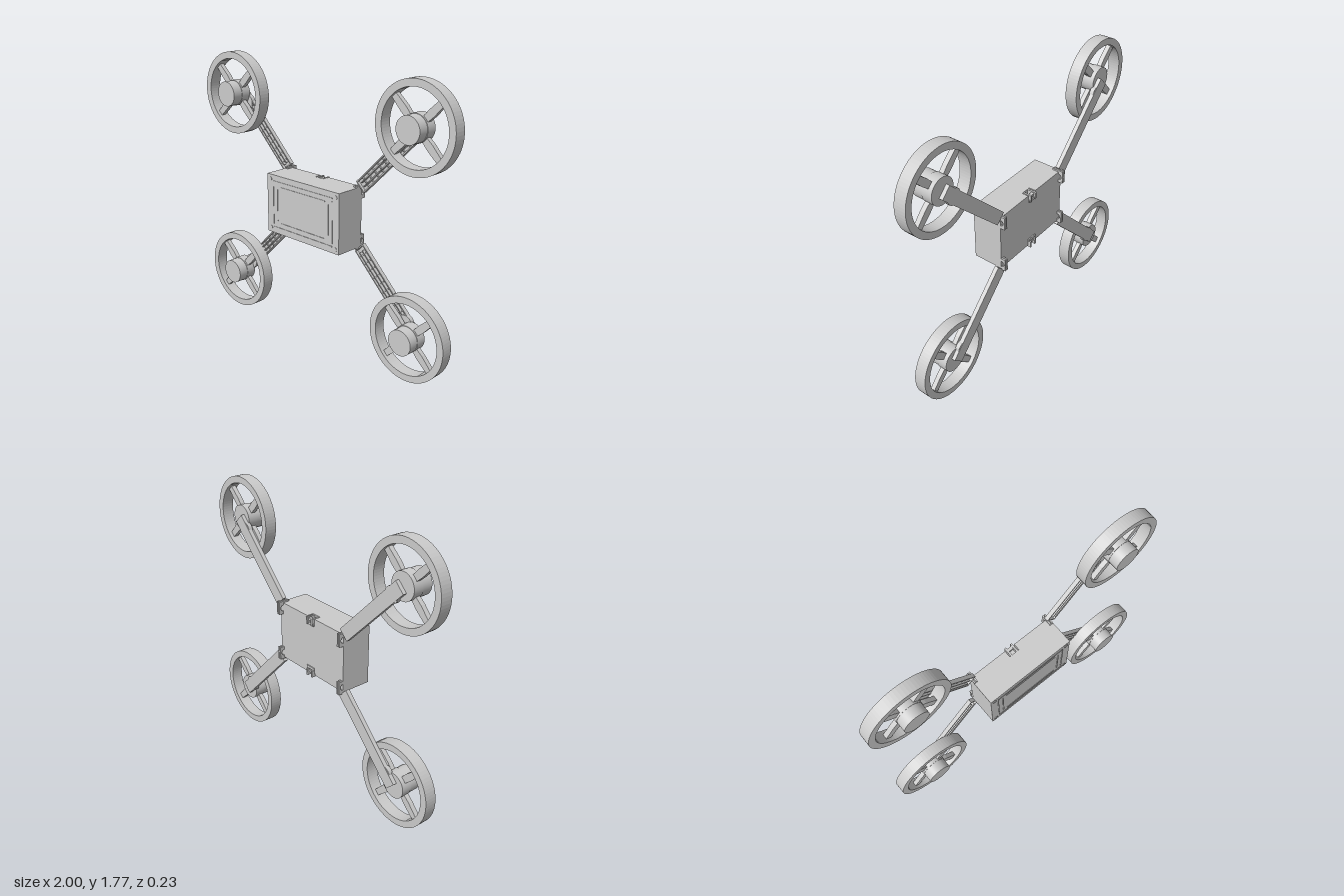
import * as THREE from 'three';

const grey = new THREE.MeshStandardMaterial({ color: 0xcccccc });
const MID_Y = 0.8875;

function mesh(name, geometry, parent, x = 0, y = 0, z = 0) {
  const m = new THREE.Mesh(geometry, grey);
  m.name = name;
  m.position.set(x, y, z);
  parent.add(m);
  return m;
}

// Box given by its minimum and maximum on each axis
function box(name, parent, x0, x1, y0, y1, z0, z1) {
  return mesh(name, new THREE.BoxGeometry(x1 - x0, y1 - y0, z1 - z0), parent,
    (x0 + x1) / 2, (y0 + y1) / 2, (z0 + z1) / 2);
}

// Cylinder along z
function disc(name, parent, x, y, z0, z1, r, sides = 48) {
  const g = new THREE.CylinderGeometry(r, r, z1 - z0, sides).rotateX(Math.PI / 2);
  return mesh(name, g, parent, x, y, (z0 + z1) / 2);
}

// Hinge lug: square plate with a rounded outer corner and a pin hole, thin along x
function lugGeometry() {
  const s = new THREE.Shape();
  s.moveTo(0.04, 0.005);
  s.lineTo(0.115, 0.005);
  s.lineTo(0.115, -0.08);
  s.lineTo(0.085, -0.08);
  s.lineTo(0.085, -0.07);
  s.absarc(0.085, -0.04, 0.02, -Math.PI / 2, Math.PI / 2, false);
  s.lineTo(0.04, -0.02);
  const g = new THREE.ExtrudeGeometry(s, { depth: 0.01, bevelEnabled: false, curveSegments: 12 });
  return g.translate(0, 0, -0.005).rotateY(Math.PI / 2);
}

function buildBody() {
  const body = new THREE.Group();
  body.name = 'body';
  const w = 0.303, h = 0.19, n = 0.035, d = 0.03;
  box('bodyShell', body, -w, w, -h, h, -0.04, 0.113);

  // Rear layer with a clip notch in its top and bottom edges
  const s = new THREE.Shape([
    [-w, -h], [-n, -h], [-n, -h + d], [n, -h + d], [n, -h], [w, -h],
    [w, h], [n, h], [n, h - d], [-n, h - d], [-n, h], [-w, h],
  ].map(([x, y]) => new THREE.Vector2(x, y)));
  mesh('bodyRear', new THREE.ExtrudeGeometry(s, { depth: 0.045, bevelEnabled: false }), body, 0, 0, -0.085);

  for (const sy of [-1, 1]) {
    // Latch clip in the notch
    const clip = new THREE.Group();
    clip.name = 'latchClip';
    clip.position.y = sy * (h - d / 2);
    body.add(clip);
    for (const sx of [-1, 1]) {
      box('clipCheek', clip, sx * 0.022 - 0.006, sx * 0.022 + 0.006, -0.03, 0.014, -0.1, -0.04);
    }
    box('clipBar', clip, -0.022, 0.022, -0.008, 0.008, -0.09, -0.07);
    box('clipFoot', clip, -0.035, 0.035, sy * -0.025 - 0.008, sy * -0.025 + 0.008, -0.092, -0.08);

    // Lid frame: raised outer and inner lines
    box('lidLine', body, -0.25, 0.25, sy * 0.15 - 0.003, sy * 0.15 + 0.003, 0.11, 0.116);
    box('lidInnerLine', body, -0.19, 0.19, sy * 0.118 - 0.004, sy * 0.118 + 0.004, 0.11, 0.116);
    for (const sx of [-1, 1]) {
      disc('lidScrew', body, sx * 0.275, sy * 0.16, 0.11, 0.116, 0.013, 20);
    }
  }
  for (const sx of [-1, 1]) {
    box('lidSideLine', body, sx * 0.25 - 0.003, sx * 0.25 + 0.003, -0.13, 0.13, 0.11, 0.116);
    box('lidInnerSideLine', body, sx * 0.215 - 0.004, sx * 0.215 + 0.004, -0.105, 0.105, 0.11, 0.116);
  }
  return body;
}

// Arm along +x from the body corner to the hub: a tray open to the front with ribs
function buildArm(length) {
  const arm = new THREE.Group();
  arm.name = 'arm';
  const hw = 0.042, z0 = -0.09, z1 = -0.063, t = 0.007;
  box('armBack', arm, 0, length, -hw, hw, z0, z0 + 0.009);
  for (const s of [-1, 1]) {
    box('armWall', arm, 0, length, s * (hw - t / 2) - t / 2, s * (hw - t / 2) + t / 2, z0, z1);
    box('armEnd', arm, s < 0 ? 0 : length - t, s < 0 ? t : length, -hw, hw, z0, z1);
    box('armRail', arm, 0.03, length - 0.1, s * 0.014 - 0.003, s * 0.014 + 0.003, z0, z1 + 0.003);
  }
  for (let i = 1; i < 12; i++) {
    const x = i * length / 12;
    box('armRib', arm, x - 0.003, x + 0.003, -hw, hw, z0, z1 - 0.008);
  }
  // Motor mount boss beside the hub
  disc('mountBoss', arm, length - 0.085, 0, z0 + 0.003, z1 + 0.004, 0.05, 24);
  return arm;
}

// Ring guard, spokes and motor centred on the origin
function buildRotor() {
  const rotor = new THREE.Group();
  rotor.name = 'rotor';
  const ring = new THREE.Shape().absarc(0, 0, 0.265, 0, Math.PI * 2, false);
  ring.holes.push(new THREE.Path().absarc(0, 0, 0.222, 0, Math.PI * 2, true));
  mesh('ringGuard', new THREE.ExtrudeGeometry(ring, { depth: 0.077, bevelEnabled: false, curveSegments: 40 }),
    rotor, 0, 0, -0.065);
  disc('motorBase', rotor, 0, 0, -0.066, 0.0, 0.083);
  disc('motorCap', rotor, 0, 0, 0.0, 0.066, 0.08);

  // Spokes, slightly wider in the middle of their span
  const spoke = new THREE.Shape([
    [0.05, -0.018], [0.13, -0.024], [0.225, -0.019], [0.225, 0.019], [0.13, 0.024], [0.05, 0.018],
  ].map(([x, y]) => new THREE.Vector2(x, y)));
  const g = new THREE.ExtrudeGeometry(spoke, { depth: 0.03, bevelEnabled: false });
  for (let i = 0; i < 4; i++) {
    mesh('spoke', g, rotor, 0, 0, -0.04).rotation.z = Math.PI / 4 + i * Math.PI / 2;
  }
  return rotor;
}

export function createModel() {
  const model = new THREE.Group();
  model.name = 'quadFrame';
  const body = buildBody();
  body.position.y = MID_Y;
  model.add(body);

  const hubX = 0.735, hubY = 0.6225, rootX = 0.305, rootY = 0.19;
  const lug = lugGeometry();
  for (const sx of [-1, 1]) {
    for (const sy of [-1, 1]) {
      const arm = buildArm(Math.hypot(hubX - rootX, hubY - rootY));
      arm.position.set(sx * rootX, MID_Y + sy * rootY, 0);
      arm.rotation.z = Math.atan2(sy * (hubY - rootY), sx * (hubX - rootX));
      model.add(arm);

      const rotor = buildRotor();
      rotor.position.set(sx * hubX, MID_Y + sy * hubY, 0);
      model.add(rotor);

      // Pair of hinge lugs at the body corner, turned over for the lower corners
      for (const x of [0.283, 0.298]) {
        const m = mesh('hingeLug', lug, model, sx * x, MID_Y + sy * 0.195, 0);
        m.position.z = 0;
        if (sy < 0) m.scale.y = -1;
        m.rotation.y = 0;
        // The profile runs toward the back
        if (m.geometry.boundingBox === null) m.geometry.computeBoundingBox();
        if (m.geometry.boundingBox.max.z > 0) m.rotation.y = Math.PI;
      }
    }
  }
  return model;
}
